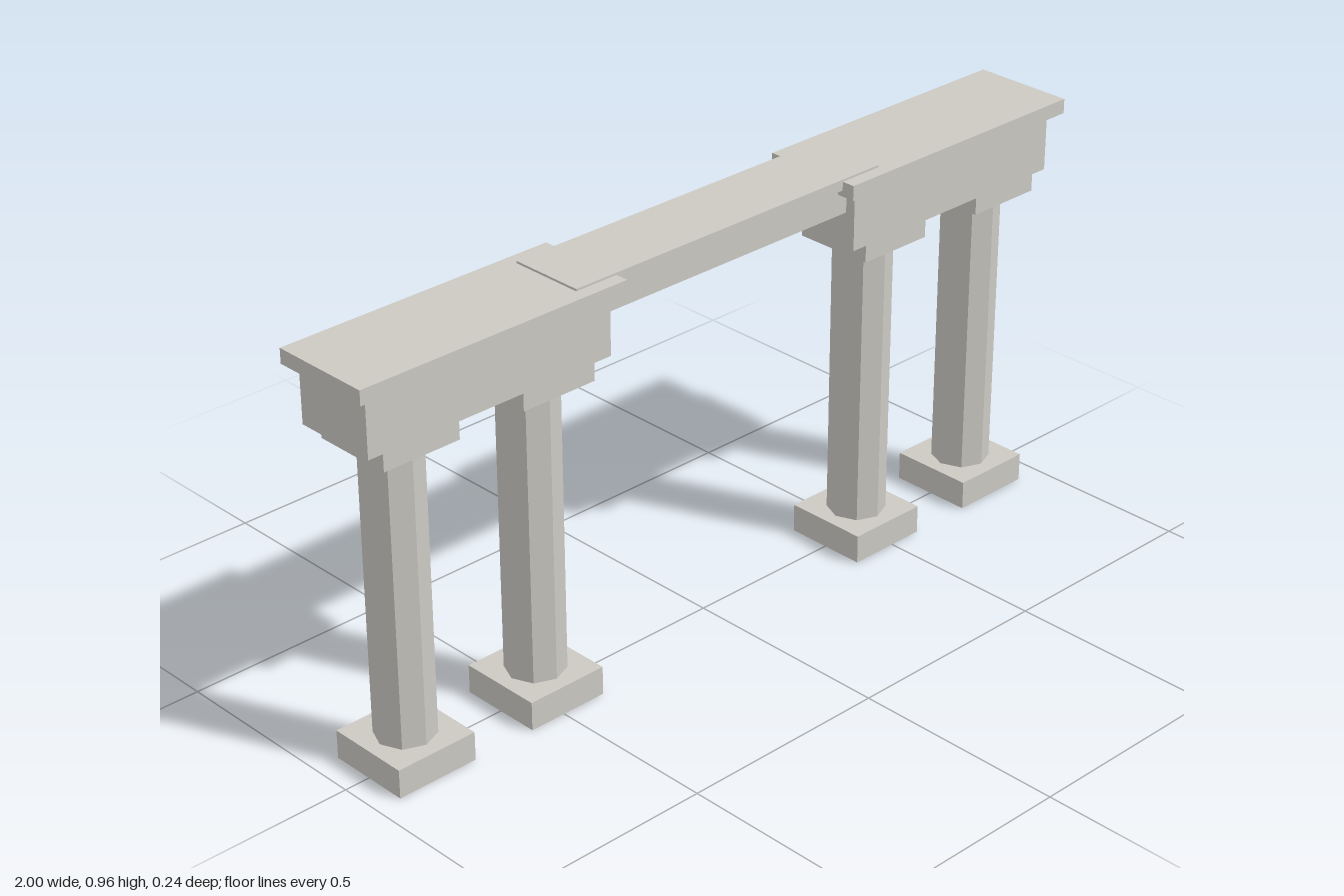
import * as THREE from 'three';

const stone = new THREE.MeshStandardMaterial({ color: 0xcbc9c2 });
stone.name = 'paleStone';
stone.flatShading = true;
stone.side = THREE.DoubleSide;

// Box given by its x, y and z ranges
function block(name, [x0, x1], [y0, y1], [z0, z1], openBottom = false) {
  const geo = new THREE.BoxGeometry(x1 - x0, y1 - y0, z1 - z0);
  if (openBottom) {
    // drop the two triangles of the -y face (fourth group of six indices)
    const index = Array.from(geo.index.array);
    index.splice(18, 6);
    geo.setIndex(index);
    geo.clearGroups();
  }
  const mesh = new THREE.Mesh(geo, stone);
  mesh.name = name;
  mesh.position.set((x0 + x1) / 2, (y0 + y1) / 2, (z0 + z1) / 2);
  return mesh;
}

// Octagonal pillar with a hollow plinth and a square capital
function pillar(x) {
  const group = new THREE.Group();
  group.name = 'pillar';
  const shaft = new THREE.Mesh(new THREE.CylinderGeometry(0.067, 0.067, 0.678, 8), stone);
  shaft.name = 'shaft';
  shaft.position.y = 0.406;
  // the plinth top closes the shaft, so only the plinth is open below
  group.add(
    block('plinth', [-0.099, 0.099], [0, 0.067], [-0.1, 0.1], true),
    shaft,
    block('capital', [-0.094, 0.094], [0.745, 0.787], [-0.094, 0.097])
  );
  group.position.x = x;
  return group;
}

export function createModel() {
  const model = new THREE.Group();
  model.name = 'colonnade';

  for (const x of [-0.841, -0.489, 0.484, 0.837]) model.add(pillar(x));

  // End beams with their overhanging slabs
  model.add(
    block('rightBeam', [-0.973, -0.353], [0.787, 0.92], [-0.1, 0.1]),
    block('leftBeam', [0.348, 0.968], [0.787, 0.92], [-0.1, 0.1]),
    block('rightSlab', [-1, -0.326], [0.92, 0.954], [-0.12, 0.121]),
    block('leftSlab', [0.321, 1], [0.92, 0.954], [-0.12, 0.121])
  );

  // Bridging span between the two ends
  model.add(
    block('spanBeam', [-0.4, 0.395], [0.87, 0.934], [-0.074, 0.076]),
    block('spanPlate', [-0.433, 0.43], [0.934, 0.959], [-0.088, 0.09])
  );
  return model;
}
